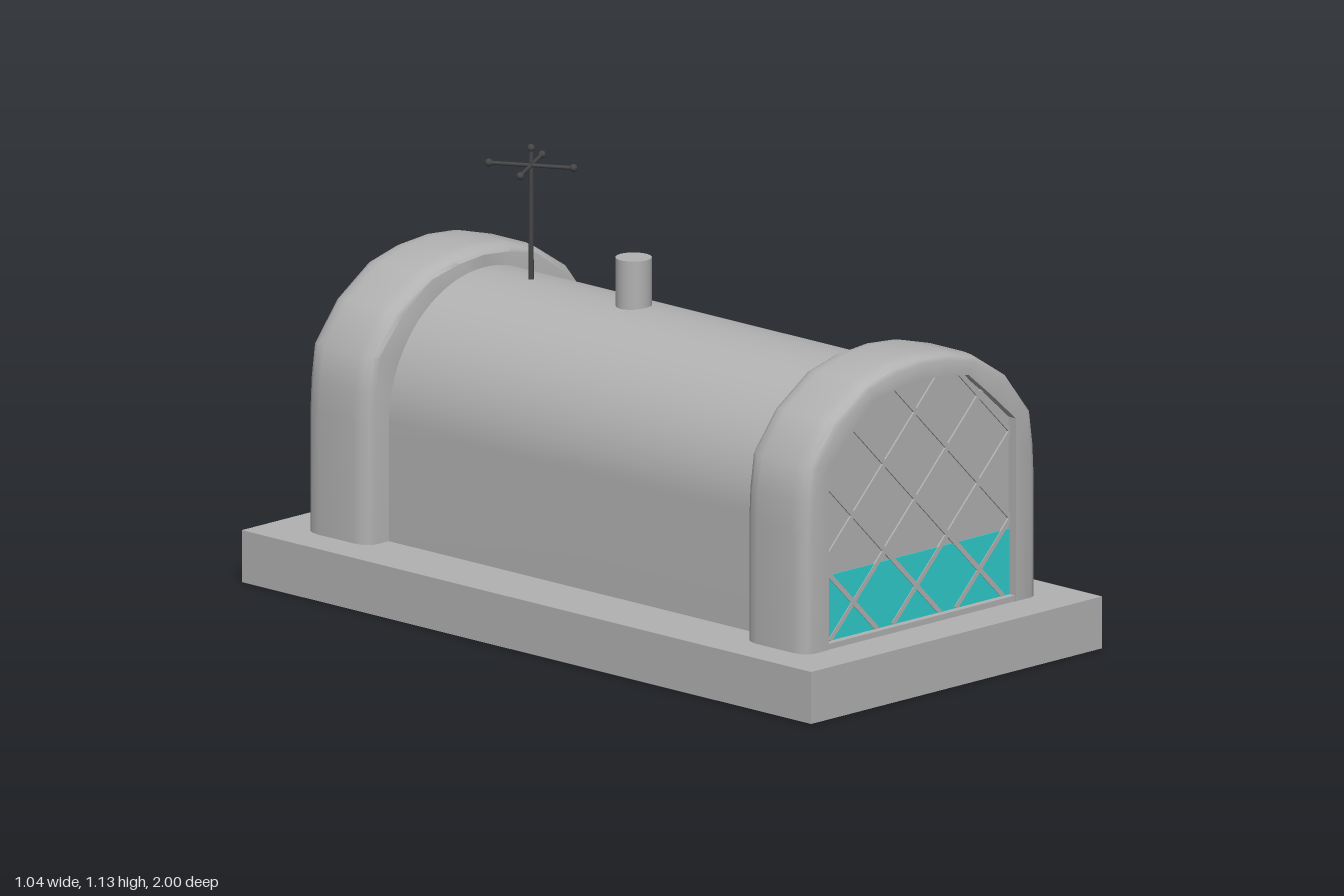
import * as THREE from 'three';
import { toCreasedNormals } from 'three/addons/utils/BufferGeometryUtils.js';

const concrete = new THREE.MeshStandardMaterial({ color: 0xb2b2b2 });
concrete.name = 'concrete grey';
const glass = new THREE.MeshStandardMaterial({ color: 0x2dcdcb });
glass.name = 'turquoise glass';
const iron = new THREE.MeshStandardMaterial({ color: 0x464648 });
iron.name = 'dark iron';

function add(parent, name, geometry, material, x = 0, y = 0, z = 0) {
  const mesh = new THREE.Mesh(geometry, material);
  mesh.name = name;
  mesh.position.set(x, y, z);
  parent.add(mesh);
  return mesh;
}

const box = (w, h, d) => new THREE.BoxGeometry(w, h, d);
const BASE = 0.135;

// Right halves of the collar's outer arch and of its opening, bottom to top
const mirrorArch = (half) => [...half, ...half.slice(0, -1).reverse().map(([x, y]) => [-x, y])];
const outer = mirrorArch([[0.42, BASE], [0.42, 0.45], [0.415, 0.53], [0.4, 0.62], [0.32, 0.725], [0.2, 0.8], [0.1, 0.827], [0, 0.835]]);
const inner = mirrorArch([[0.335, BASE], [0.335, 0.45], [0.335, 0.53], [0.335, 0.61], [0.25, 0.685], [0.165, 0.755], [0.08, 0.767], [0, 0.775]]);

// Rounded collar: sections [z, inset], inset 0 = outer arch, 1 = opening
function collarGeometry() {
  const sections = [[0.66, 1.8], [0.66, 0.35], [0.668, 0.18], [0.685, 0.05], [0.71, 0],
    [0.83, 0], [0.858, 0.05], [0.874, 0.18], [0.88, 0.35], [0.88, 1], [0.845, 1]];
  const n = outer.length;
  const positions = [];
  const index = [];
  sections.forEach(([z, t], j) => outer.forEach(([x, y], i) => {
    positions.push(x + (inner[i][0] - x) * t, y + (inner[i][1] - y) * t, z);
    if (i < n - 1 && j < sections.length - 1) {
      const a = j * n + i;
      index.push(a, a + 1, a + n, a + 1, a + n + 1, a + n);
    }
  }));
  const g = new THREE.BufferGeometry();
  g.setAttribute('position', new THREE.Float32BufferAttribute(positions, 3));
  g.setIndex(index);
  return toCreasedNormals(g, 0.65);
}

// Clip a line (point p, direction d) to the convex opening
function clipToOpening(p, d) {
  const poly = inner.map(([x, y]) => [x, Math.max(y, 0.15)]);
  let lo = -5, hi = 5;
  poly.forEach(([ax, ay], i) => {
    const [bx, by] = poly[(i + 1) % poly.length];
    const nx = ay - by, ny = bx - ax;
    const dist = (p[0] - ax) * nx + (p[1] - ay) * ny;
    const rate = d[0] * nx + d[1] * ny;
    if (rate > 1e-9) lo = Math.max(lo, -dist / rate);
    else if (rate < -1e-9) hi = Math.min(hi, -dist / rate);
    else if (dist < -1e-9) hi = -9;
  });
  return [lo, hi];
}

function buildEnd() {
  const end = new THREE.Group();
  add(end, 'collar', collarGeometry(), concrete);
  const panel = new THREE.Shape(inner.map(([x, y]) => new THREE.Vector2(x, y)));
  add(end, 'endPanel', new THREE.ShapeGeometry(panel), concrete, 0, 0, 0.855);
  add(end, 'sill', box(0.67, 0.015, 0.025), concrete, 0, BASE + 0.0075, 0.865);
  add(end, 'endWindow', box(0.67, 0.17, 0.004), glass, 0, 0.235, 0.856);

  // Diagonal lattice
  for (const s of [1, -1]) {
    for (let k = -4; k <= 4; k++) {
      const p = [k * 0.226, 0.235];
      const d = [s * Math.SQRT1_2, Math.SQRT1_2];
      const [lo, hi] = clipToOpening(p, d);
      if (hi - lo < 0.02) continue;
      const mid = (lo + hi) / 2;
      const bar = add(end, 'latticeBar', box(hi - lo, 0.013, 0.005), concrete,
        p[0] + d[0] * mid, p[1] + d[1] * mid, 0.8575);
      bar.rotation.z = s * Math.PI / 4;
    }
  }
  return end;
}

export function createModel() {
  const model = new THREE.Group();
  model.name = 'vaultedHall';

  // Base slab with entrance notch on the left side
  const slab = new THREE.Shape([[-0.522, -1], [0.522, -1], [0.522, -0.22], [0.33, -0.22],
    [0.33, 0.22], [0.522, 0.22], [0.522, 1], [-0.522, 1]].map(([x, y]) => new THREE.Vector2(x, y)));
  const slabGeometry = new THREE.ExtrudeGeometry(slab, { depth: BASE, bevelEnabled: false });
  add(model, 'baseSlab', slabGeometry.rotateX(-Math.PI / 2), concrete);
  add(model, 'entranceFloor', box(0.192, 0.02, 0.44), concrete, 0.426, 0.01, 0);

  // Barrel-vaulted body
  const vault = new THREE.Shape();
  vault.moveTo(-0.342, 0.01);
  vault.lineTo(0.342, 0.01);
  vault.lineTo(0.342, 0.44);
  vault.absarc(0, 0.44, 0.342, 0, Math.PI, false);
  vault.closePath();
  const body = new THREE.ExtrudeGeometry(vault, { depth: 1.68, bevelEnabled: false, curveSegments: 24 });
  add(model, 'vaultedBody', toCreasedNormals(body.translate(0, 0, -0.84), 0.5), concrete);

  // Matching ends
  for (const [name, turn] of [['frontEnd', 0], ['backEnd', Math.PI]]) {
    const end = buildEnd();
    end.name = name;
    end.rotation.y = turn;
    model.add(end);
  }

  // Side windows, with a notice board on the front one
  for (const s of [1, -1]) {
    add(model, 'sideWindow', box(0.006, 0.16, 0.43), glass, 0.342, 0.23, s * 0.445);
  }
  add(model, 'noticeBoard', box(0.006, 0.105, 0.155), concrete, 0.345, 0.233, 0.483);

  // Double door, one leaf ajar
  add(model, 'closedDoor', box(0.008, 0.24, 0.16), glass, 0.342, 0.145, -0.08);
  const hinge = new THREE.Group();
  hinge.name = 'openDoor';
  hinge.position.set(0.335, 0.145, 0.168);
  hinge.rotation.y = -0.24;
  add(hinge, 'doorLeaf', box(0.008, 0.24, 0.163), glass, 0, 0, -0.0815);
  model.add(hinge);

  // Chimney
  add(model, 'chimney', new THREE.CylinderGeometry(0.046, 0.046, 0.145, 24), concrete, 0, 0.8325, -0.135);

  // Mast with crossed arms
  const mast = new THREE.Group();
  mast.name = 'mast';
  mast.position.set(0, 0, -0.495);
  const knob = new THREE.SphereGeometry(0.01, 12, 8);
  add(mast, 'mastPole', new THREE.CylinderGeometry(0.006, 0.007, 0.36, 12), iron, 0, 0.945, 0);
  add(mast, 'mastKnob', knob, iron, 0, 1.122, 0);
  for (const angle of [Math.PI / 6, -Math.PI / 3]) {
    const arm = new THREE.Group();
    arm.name = 'mastArm';
    arm.position.y = 1.077;
    arm.rotation.y = angle;
    add(arm, 'armRod', new THREE.CylinderGeometry(0.005, 0.005, 0.22, 10).rotateZ(Math.PI / 2), iron);
    for (const s of [1, -1]) add(arm, 'armKnob', knob, iron, s * 0.11, 0, 0);
    mast.add(arm);
  }
  model.add(mast);
  return model;
}
